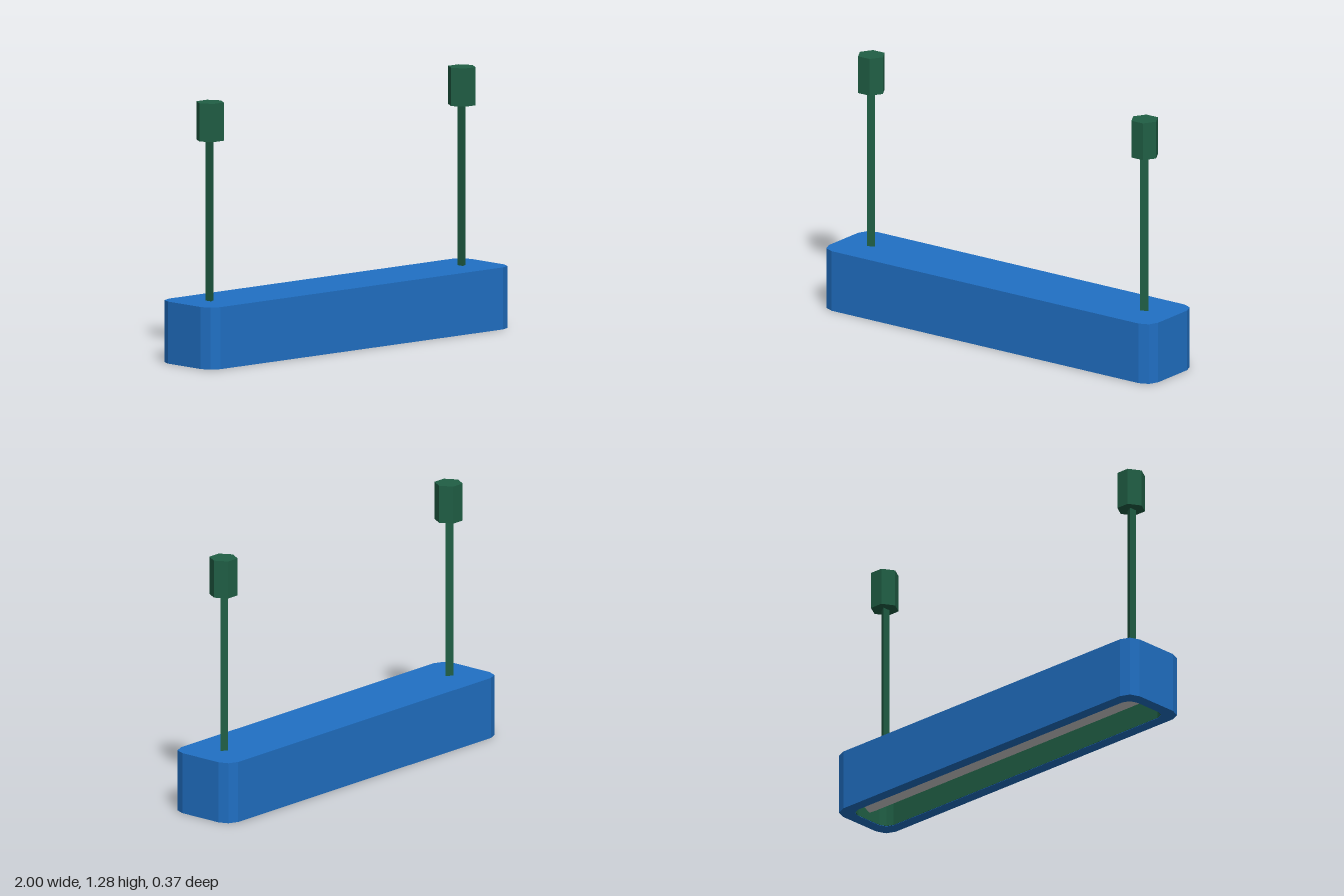
import * as THREE from 'three';

const blue = new THREE.MeshStandardMaterial({ color: 0x2070c4, flatShading: true });
const green = new THREE.MeshStandardMaterial({ color: 0x205f45, flatShading: true });
const grey = new THREE.MeshStandardMaterial({ color: 0xcccccc, flatShading: true });

// Rectangle with two-facet corners, shrunk by an inset
function outline(inset, Type = THREE.Shape) {
  const w = 1 - inset, d = 0.185 - inset, r = 0.068 - inset * 0.3, k = r * 0.293;
  const corner = [[w, d - r], [w - k, d - k], [w - r, d]];
  const flip = (sx, sz) => corner.map(([x, z]) => new THREE.Vector2(x * sx, z * sz));
  return new Type([
    ...flip(1, 1), ...flip(-1, 1).reverse(),
    ...flip(-1, -1), ...flip(1, -1).reverse(),
  ]);
}

// Upright slab or ring between two heights
function slab(name, y0, y1, inset, holeInset, material) {
  const shape = outline(inset);
  if (holeInset) shape.holes.push(outline(holeInset, THREE.Path));
  const geo = new THREE.ExtrudeGeometry(shape, { depth: y1 - y0, bevelEnabled: false });
  geo.rotateX(-Math.PI / 2).translate(0, y0, 0);
  const mesh = new THREE.Mesh(geo, material);
  mesh.name = name;
  return mesh;
}

// Upright prism with one corner pointing to +x
function prism(name, radius, sides, y0, y1, x) {
  const geo = new THREE.CylinderGeometry(radius, radius, y1 - y0, sides);
  geo.rotateY(Math.PI / 2);
  const mesh = new THREE.Mesh(geo, green);
  mesh.name = name;
  mesh.position.set(x, (y0 + y1) / 2, 0);
  return mesh;
}

export function createModel() {
  const lamp = new THREE.Group();
  lamp.name = 'hangingLamp';

  // Housing: hollow from below, closed on top
  lamp.add(slab('housingWalls', 0, 0.245, 0, 0.06, blue));
  lamp.add(slab('housingTop', 0.245, 0.305, 0, 0, blue));

  // Coloured lining inside the housing
  lamp.add(slab('liningWalls', 0.002, 0.245, 0.058, 0.062, green));
  lamp.add(slab('liningCeiling', 0.235, 0.244, 0.06, 0, green));

  // Six-sided light tube along the opening
  const tubeGeo = new THREE.CylinderGeometry(0.05, 0.05, 1.87, 6);
  tubeGeo.rotateY(Math.PI / 2).rotateZ(Math.PI / 2);
  const tube = new THREE.Mesh(tubeGeo, grey);
  tube.name = 'lightTube';
  tube.position.y = 0.09;
  lamp.add(tube);

  // Hanging rods with ceiling mounts
  for (const [side, x] of [['left', 0.83], ['right', -0.83]]) {
    lamp.add(prism(side + 'Rod', 0.0235, 3, 0.3, 1.1, x));
    lamp.add(prism(side + 'CeilingMount', 0.07, 6, 1.095, 1.283, x));
  }
  return lamp;
}
